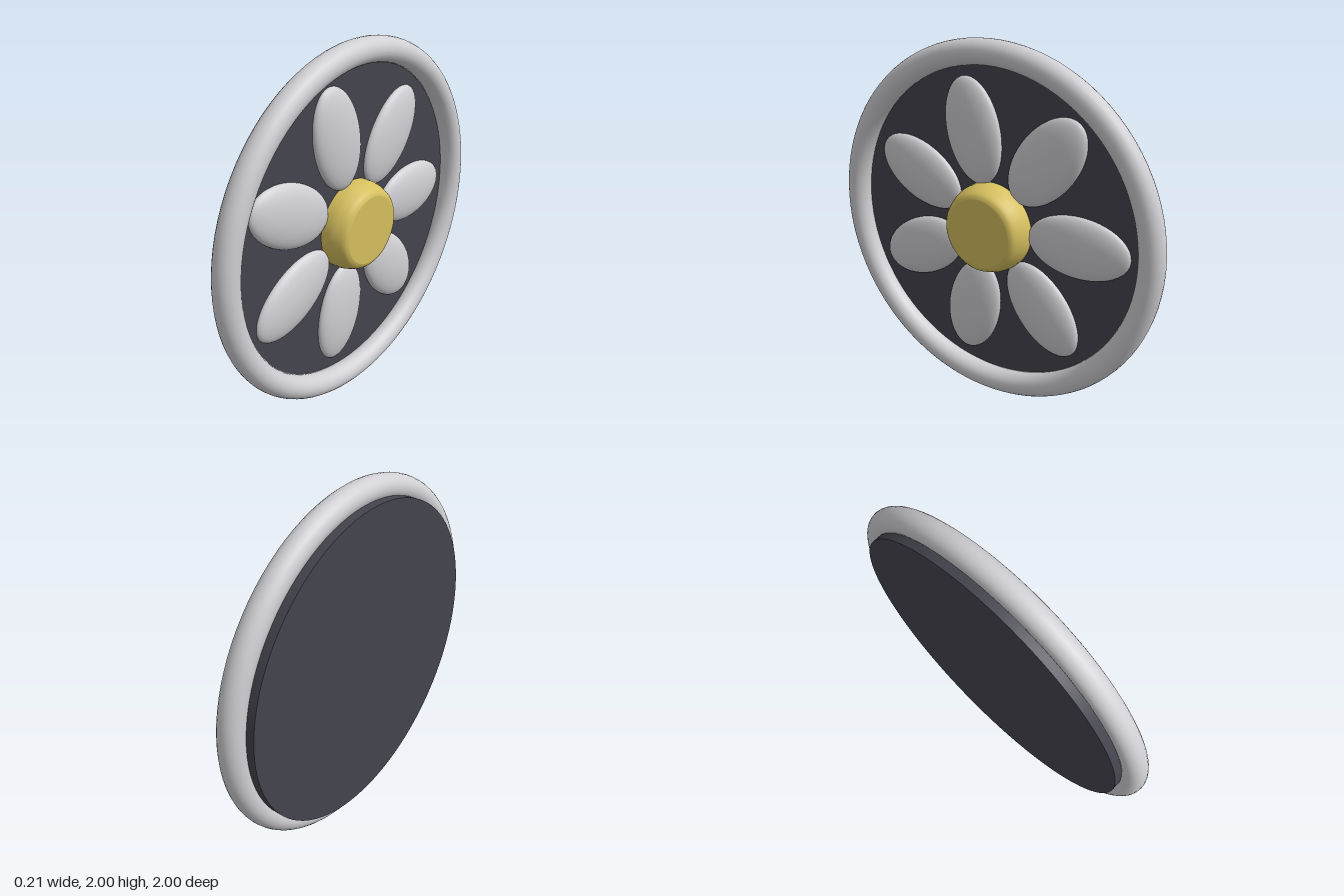
import * as THREE from 'three';

const mat = (name, color) => {
  const m = new THREE.MeshStandardMaterial({ color });
  m.name = name;
  return m;
};

export function createModel() {
  const silver = mat('silver', 0xd0d0d4);
  const dark = mat('dark grey', 0x44444e);
  const gold = mat('gold', 0xd6c05f);

  const group = new THREE.Group();
  group.name = 'wheelCover';
  const add = (name, geometry, material) => {
    const mesh = new THREE.Mesh(geometry, material);
    mesh.name = name;
    mesh.position.y = 1;
    group.add(mesh);
    return mesh;
  };

  // Outer rim, turned so the wheel axis runs along x
  add('rim', new THREE.TorusGeometry(0.933, 0.067, 24, 96).rotateY(Math.PI / 2), silver);

  // Backing disc, from x = -0.105 to -0.035
  add('backDisc', new THREE.CylinderGeometry(0.9, 0.9, 0.07, 96)
    .rotateZ(-Math.PI / 2).translate(-0.07, 0, 0), dark);

  // Seven domed petals, the first pointing towards -z
  const petalGeometry = new THREE.SphereGeometry(1, 40, 24)
    .scale(0.06, 0.168, 0.29).translate(-0.03, 0, -0.525);
  for (let i = 0; i < 7; i++) {
    add('petal' + (i + 1), petalGeometry, silver).rotation.x = (i * 2 * Math.PI) / 7;
  }

  // Hub: tapering side and rounded shoulder
  const profile = [
    [0.248, -0.04], [0.247, 0.01], [0.24, 0.04], [0.228, 0.07],
    [0.219, 0.088], [0.207, 0.1], [0.19, 0.105],
  ].map(([r, h]) => new THREE.Vector2(r, h));
  add('hub', new THREE.LatheGeometry(profile, 64).rotateZ(-Math.PI / 2), gold);

  // Flat hub face
  add('hubFace', new THREE.CircleGeometry(0.19, 64)
    .rotateY(Math.PI / 2).translate(0.105, 0, 0), gold);

  return group;
}
